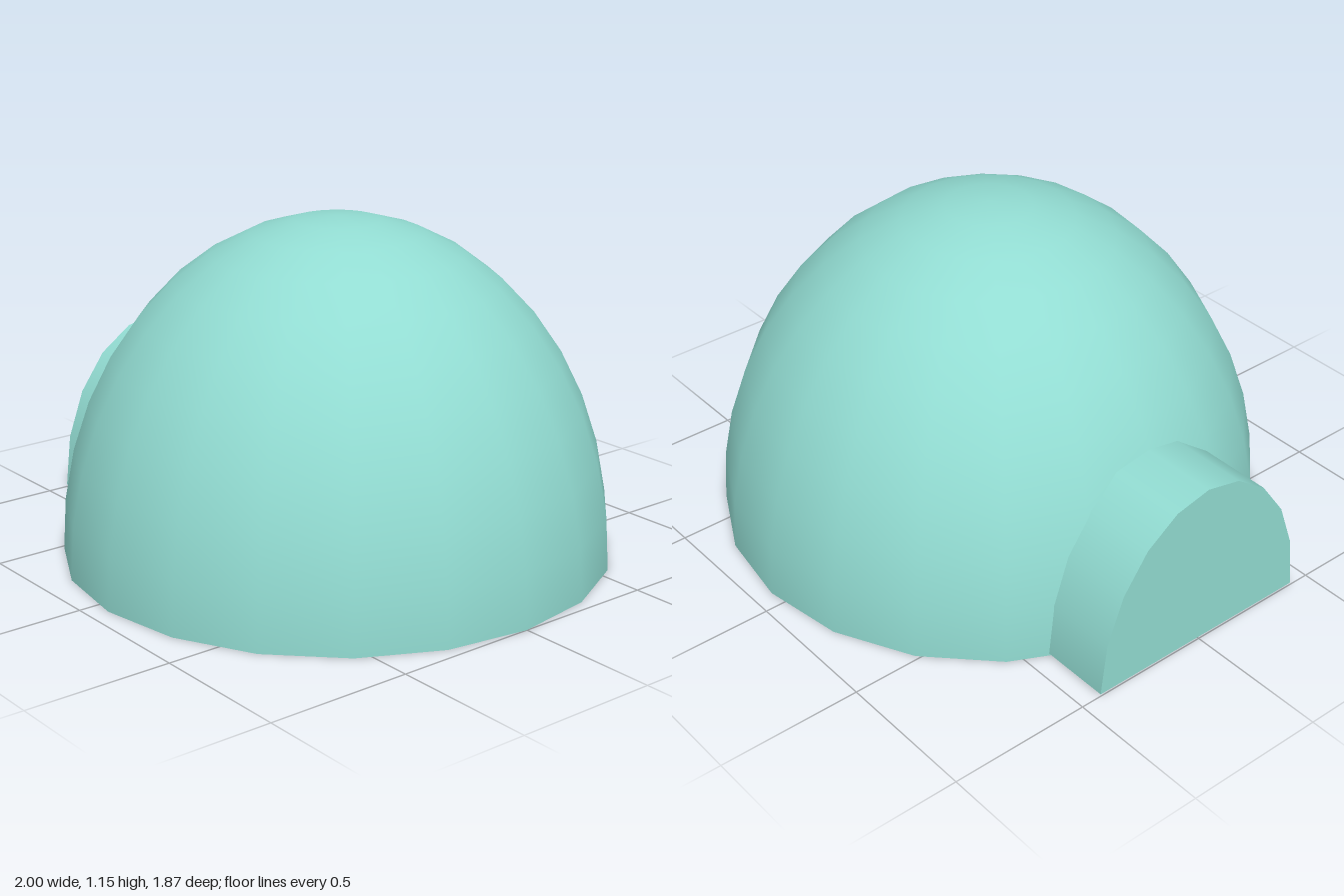
import * as THREE from 'three';

export function createModel() {
  const group = new THREE.Group();
  const ice = new THREE.MeshStandardMaterial({ color: 0x92dcd2, side: THREE.DoubleSide });
  ice.name = 'pale ice';

  // Hollow half-ellipsoid shell, open underneath
  const domeRadius = 0.935, domeHeight = 1.155;
  const domeGeometry = new THREE.SphereGeometry(1, 20, 10, 0, Math.PI * 2, 0, Math.PI / 2);
  domeGeometry.scale(domeRadius, domeHeight, domeRadius);
  const dome = new THREE.Mesh(domeGeometry, ice);
  dome.name = 'dome';
  dome.position.x = 0.065;
  group.add(dome);

  // Arched entrance tunnel: half cylinder with end caps, open underneath,
  // running from outside the shell to just past the middle
  const outerEnd = -1, innerEnd = 0.19, base = 0.008;
  const tunnelGeometry = new THREE.CylinderGeometry(1, 1, innerEnd - outerEnd, 10, 1, false, 0, Math.PI);
  tunnelGeometry.rotateZ(Math.PI / 2);
  tunnelGeometry.scale(1, 0.6 - base, 0.425);
  const tunnel = new THREE.Mesh(tunnelGeometry, ice);
  tunnel.name = 'entranceTunnel';
  tunnel.position.set((outerEnd + innerEnd) / 2, base, 0);
  group.add(tunnel);

  return group;
}
